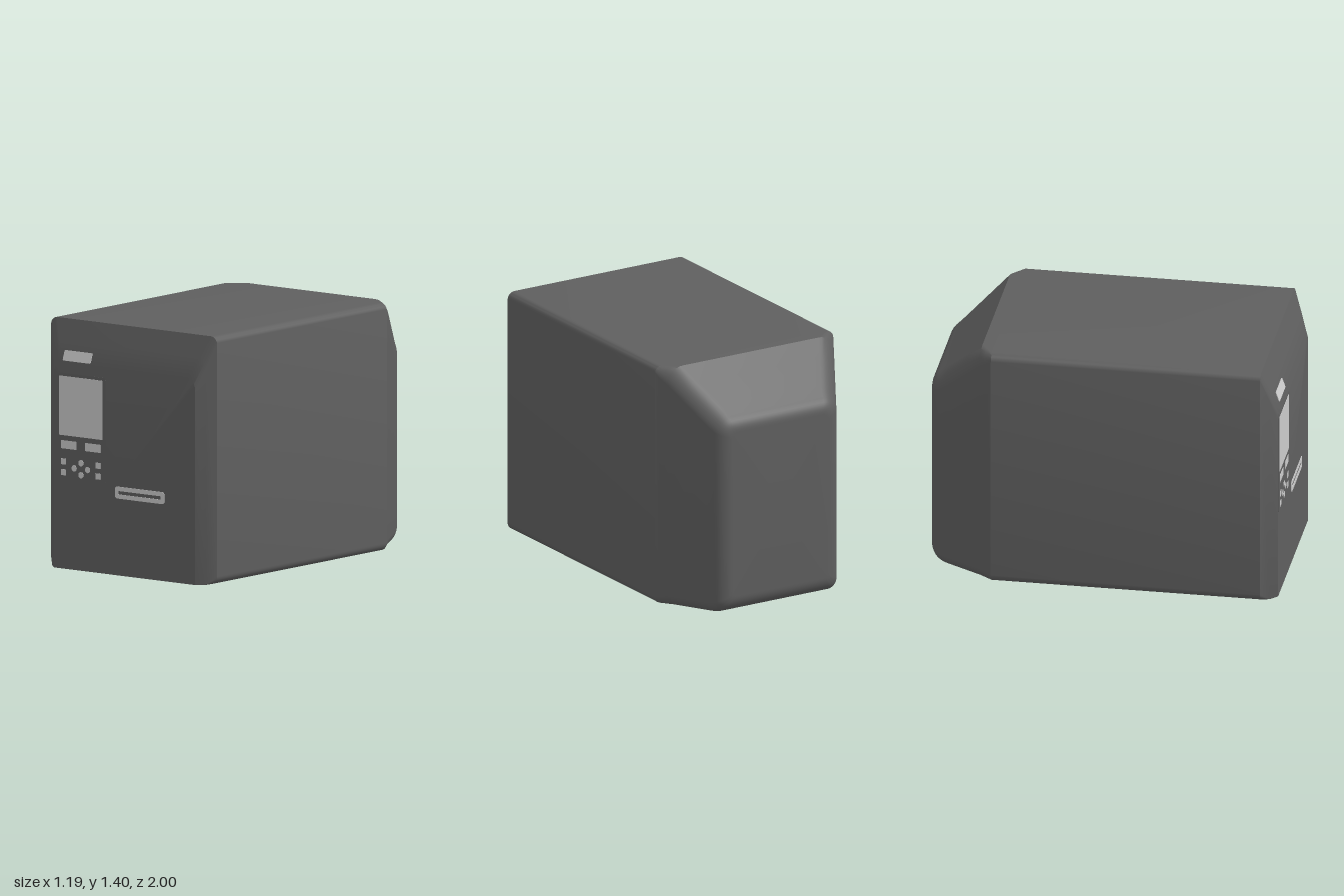
import * as THREE from 'three';
import { toCreasedNormals } from 'three/addons/utils/BufferGeometryUtils.js';

const FRONT = 0.997;
const N = 8; // segments per rounded corner

// Outline of a housing section, counter-clockwise from the lower right corner
function ring({ z, w, b, t, rt, rb }) {
  const corners = [[w - rb, b + rb, rb, -1], [w - rt, t - rt, rt, 0], [-w + rt, t - rt, rt, 1], [-w + rb, b + rb, rb, 2]];
  const pts = [];
  for (const [cx, cy, r, q] of corners) {
    for (let i = 0; i <= N; i++) {
      const a = (q + i / N) * Math.PI / 2;
      pts.push([cx + r * Math.cos(a), cy + r * Math.sin(a), z]);
    }
  }
  return pts;
}

// Closed skin through the sections, ordered front to back
function loft(sections) {
  const rings = sections.map(ring);
  const n = rings[0].length;
  const pos = rings.flat(2);
  const idx = [];
  for (let i = 0; i < rings.length - 1; i++) {
    for (let j = 0; j < n; j++) {
      const a = i * n + j, b = i * n + (j + 1) % n;
      idx.push(a, a + n, b, b, a + n, b + n);
    }
  }
  const last = (rings.length - 1) * n, c = pos.length / 3;
  for (const s of [sections[0], sections.at(-1)]) pos.push(0, (s.b + s.t) / 2, s.z);
  for (let j = 0; j < n; j++) {
    const k = (j + 1) % n;
    idx.push(c, j, k, c + 1, last + k, last + j);
  }
  const g = new THREE.BufferGeometry();
  g.setAttribute('position', new THREE.Float32BufferAttribute(pos, 3));
  g.setIndex(idx);
  return toCreasedNormals(g, 0.4);
}

// Rear section: chamfered sides and sloped top, blended into the back by a 0.1 radius
function rearSection(z) {
  const arc = Math.sqrt(Math.max(0, 0.01 - (z + 0.9) ** 2));
  const w = z > -0.95 ? 0.593 - 0.577 * (-0.62 - z) : 0.316 + arc;
  const t = z > -0.9685 ? 1.405 - 0.94 * Math.max(0, -0.69 - z) : 1.071 + arc;
  const b = z > -0.9 ? 0 : 0.1 - arc;
  const grow = Math.min(1, (-0.62 - z) / 0.07);
  const shrink = z > -0.9 ? 1 : 0.4 + 6 * arc;
  return { z, w, b, t, rt: (0.045 + 0.055 * grow) * shrink, rb: (0.045 + 0.015 * grow) * shrink };
}

function roundedRect(w, h, r, Type = THREE.Shape) {
  const s = new Type(), x = w / 2, y = h / 2;
  s.moveTo(-x + r, -y);
  s.lineTo(x - r, -y); s.absarc(x - r, -y + r, r, -Math.PI / 2, 0);
  s.lineTo(x, y - r); s.absarc(x - r, y - r, r, 0, Math.PI / 2);
  s.lineTo(-x + r, y); s.absarc(-x + r, y - r, r, Math.PI / 2, Math.PI);
  s.lineTo(-x, -y + r); s.absarc(-x + r, -y + r, r, Math.PI, Math.PI * 1.5);
  return s;
}

export function createModel() {
  const model = new THREE.Group();
  model.name = 'labelPrinter';
  const dark = new THREE.MeshStandardMaterial({ color: 0x5f5f5f });
  const grey = new THREE.MeshStandardMaterial({ color: 0xcccccc });

  function add(name, geometry, material, x = 0, y = 0, z = 0, parent = model) {
    const mesh = new THREE.Mesh(geometry, material);
    mesh.name = name;
    mesh.position.set(x, y, z);
    parent.add(mesh);
    return mesh;
  }
  // Thin plate on the front, given by its edges
  function plate(name, x0, x1, y0, y1, r = 0.001, parent = model) {
    const g = new THREE.ExtrudeGeometry(roundedRect(x1 - x0, y1 - y0, r), { depth: 0.006, bevelEnabled: false, curveSegments: 6 });
    return add(name, g, grey, (x0 + x1) / 2, (y0 + y1) / 2, 0.994, parent);
  }

  // Housing
  const rearZ = [-0.62, -0.64, -0.66, -0.69, -0.78, -0.9];
  for (let i = 1; i <= 12; i++) rearZ.push(-0.9 - 0.1 * Math.sin(i / 12 * Math.PI / 2));
  add('housing', loft([
    { z: FRONT, w: 0.505, b: 0, t: 1.165, rt: 0.06, rb: 0.002 },
    { z: 0.955, w: 0.549, b: 0, t: 1.285, rt: 0.053, rb: 0.002 },
    { z: 0.91, w: 0.593, b: 0, t: 1.405, rt: 0.045, rb: 0.045 },
    ...rearZ.map(rearSection),
  ]), dark);

  // Control panel: backing, screen and keys
  const controls = new THREE.Group();
  controls.name = 'controlPanel';
  model.add(controls);
  const backing = plate('panelBacking', -0.485, -0.135, 0.505, 1.11, 0.02, controls);
  backing.material = dark;
  backing.position.z = 0.992;
  plate('screen', -0.467, -0.156, 0.757, 1.093, 0.001, controls);
  plate('softKeyRight', -0.451, -0.341, 0.682, 0.728, 0.001, controls);
  plate('softKeyLeft', -0.28, -0.172, 0.682, 0.728, 0.001, controls);
  for (const x of [-0.451, -0.206]) {
    for (const y of [0.53, 0.591]) plate('squareKey', x, x + 0.035, y, y + 0.034, 0.001, controls);
  }
  for (const [dx, dy] of [[0, 0.034], [0, -0.034], [0.048, 0], [-0.048, 0]]) {
    const g = new THREE.CylinderGeometry(0.018, 0.018, 0.006, 24).rotateX(Math.PI / 2);
    add('arrowKey', g, grey, -0.31 + dx, 0.576 + dy, 0.997, controls);
  }

  // Badge plate lying on the sloped brow
  const badge = plate('blankBadge', -0.444, -0.246, 1.178, 1.235, 0.008);
  const slope = Math.atan2(FRONT - 0.91, 0.24);
  badge.scale.y = 1 / Math.cos(slope);
  badge.rotation.x = -slope;
  badge.position.z = FRONT - (1.2065 - 1.165) * Math.tan(slope) - 0.002;

  // Frame around the output slot
  const frame = roundedRect(0.352, 0.068, 0.016);
  frame.holes.push(roundedRect(0.302, 0.019, 0.002, THREE.Path));
  add('slotFrame', new THREE.ExtrudeGeometry(frame, { depth: 0.006, bevelEnabled: false, curveSegments: 6 }),
    grey, 0.11, 0.47, 0.994);

  return model;
}
